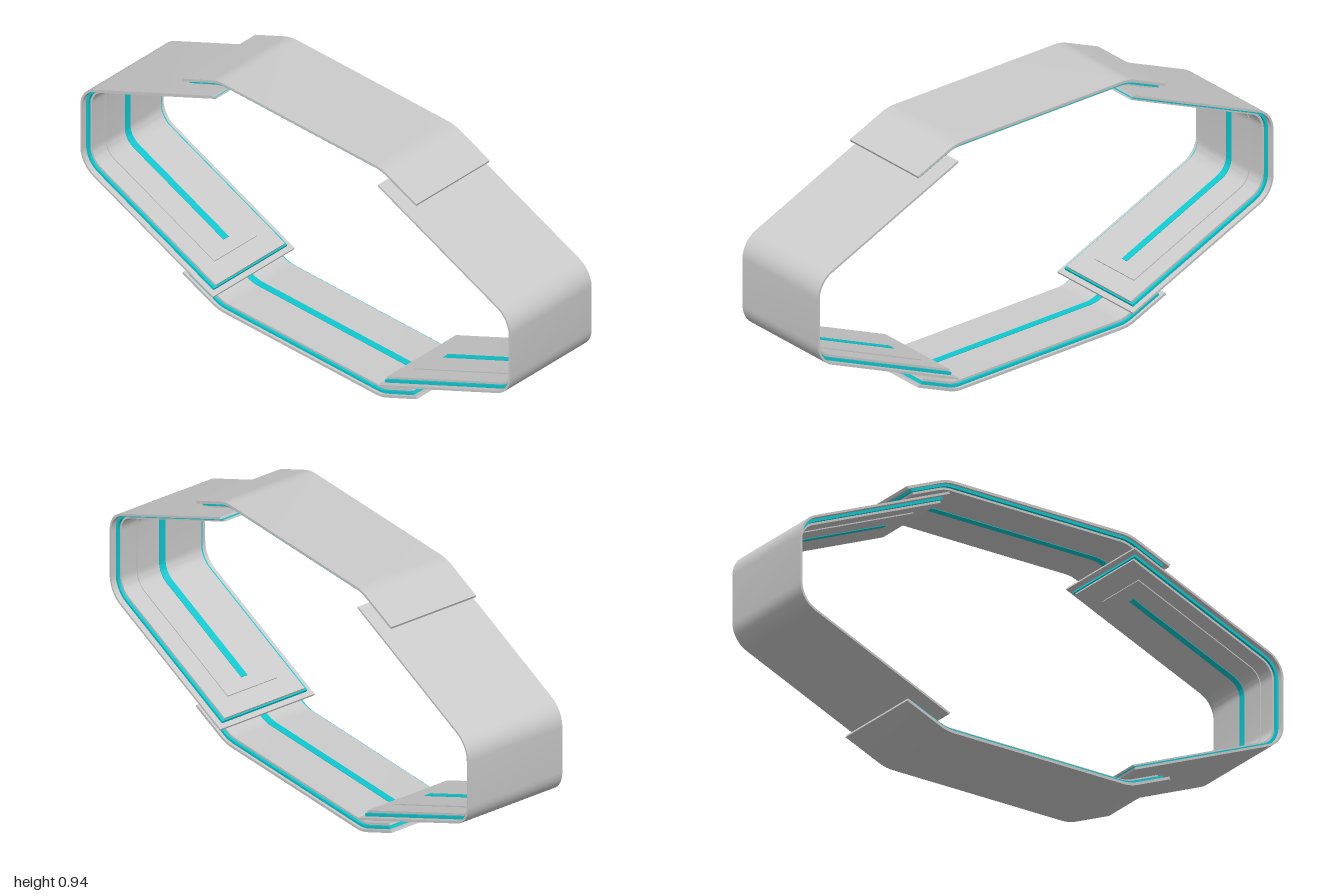
import * as THREE from 'three';
import { toCreasedNormals } from 'three/addons/utils/BufferGeometryUtils.js';

const grey = new THREE.MeshStandardMaterial({ color: 0xcccccc });
const cyan = new THREE.MeshStandardMaterial({ color: 0x10c8d0 });
const MID = 0.47; // height of the horizontal mirror plane
const V = (x, y) => new THREE.Vector2(x, y);

// Polyline with its inner corners rounded over tangent length t
function roundPath(corners, t, steps) {
  const pts = [corners[0]];
  for (let i = 1; i < corners.length - 1; i++) {
    const c = corners[i];
    const a = corners[i - 1].clone().sub(c).normalize();
    const b = corners[i + 1].clone().sub(c).normalize();
    const half = a.angleTo(b) / 2;
    const r = t * Math.tan(half);
    const centre = a.clone().add(b).normalize().multiplyScalar(t / Math.cos(half)).add(c);
    const from = a.multiplyScalar(t).add(c).sub(centre).angle();
    let sweep = b.multiplyScalar(t).add(c).sub(centre).angle() - from;
    sweep = Math.atan2(Math.sin(sweep), Math.cos(sweep));
    for (let k = 0; k <= steps; k++) {
      const u = from + (sweep * k) / steps;
      pts.push(V(centre.x + r * Math.cos(u), centre.y + r * Math.sin(u)));
    }
  }
  pts.push(corners[corners.length - 1]);
  return pts;
}

// Mitred offset towards the right-hand side of the path
function offset(pts, d) {
  const normal = i => {
    const e = pts[i + 1].clone().sub(pts[i]).normalize();
    return V(e.y, -e.x);
  };
  return pts.map((p, i) => {
    const n0 = normal(Math.max(i - 1, 0));
    const n1 = normal(Math.min(i, pts.length - 2));
    const m = n0.clone().add(n1).normalize();
    return m.multiplyScalar(d / m.dot(n0)).add(p);
  });
}

// One layer of a strap: from depth d0 to d1, half width w, ends shortened by trim
function layer(path, name, d0, d1, w, trim, material) {
  const pts = path.map(p => p.clone());
  const n = pts.length - 1;
  pts[0].add(pts[1].clone().sub(pts[0]).setLength(trim));
  pts[n].add(pts[n - 1].clone().sub(pts[n]).setLength(trim));
  const shape = new THREE.Shape([...offset(pts, d0), ...offset(pts, d1).reverse()]);
  const geo = new THREE.ExtrudeGeometry(shape, { depth: 2 * w, bevelEnabled: false });
  geo.translate(0, 0, -w);
  const mesh = new THREE.Mesh(toCreasedNormals(geo, 0.5), material);
  mesh.name = name;
  return mesh;
}

function strap(name, path, layers) {
  const group = new THREE.Group();
  group.name = name;
  layers.forEach(l => group.add(layer(path, ...l)));
  return group;
}

export function createModel() {
  const model = new THREE.Group();

  // Side straps: bent around the left and right ends
  const sidePath = roundPath(
    [V(0.385, 0.885), V(1, 0.622), V(1, 2 * MID - 0.622), V(0.385, 2 * MID - 0.885)], 0.065, 10);
  const sideLayers = [
    ['sideShell', 0, 0.008, 0.2, 0, grey],
    ['sideGlowLayer', 0.008, 0.018, 0.18, 0.02, cyan],
    ['sideLining', 0.018, 0.026, 0.17, 0.025, grey],
    ['sideInnerPad', 0.026, 0.03, 0.105, 0.1, grey],
    ['sideGlowStrip', 0.03, 0.032, 0.013, 0.15, cyan],
  ];
  // Cover straps: flat with folded-down ends
  const coverPath = roundPath(
    [V(-0.545, 0.87), V(-0.38, 0.94), V(0.38, 0.94), V(0.545, 0.87)], 0.03, 5);
  const coverLayers = [
    ['coverShell', 0, 0.01, 0.18, 0, grey],
    ['coverGlowLayer', 0.01, 0.02, 0.17, 0.02, cyan],
    ['coverLining', 0.02, 0.028, 0.16, 0.03, grey],
    ['coverGlowStrip', 0.028, 0.03, 0.013, 0.08, cyan],
  ];

  // Half turns about the z axis through the middle give the opposite straps
  [['leftSide', 'topCover', 0], ['rightSide', 'bottomCover', Math.PI]].forEach(([side, cover, turn]) => {
    for (const part of [strap(side, sidePath, sideLayers), strap(cover, coverPath, coverLayers)]) {
      part.rotation.z = turn;
      part.position.y = turn ? 2 * MID : 0;
      model.add(part);
    }
  });
  return model;
}
